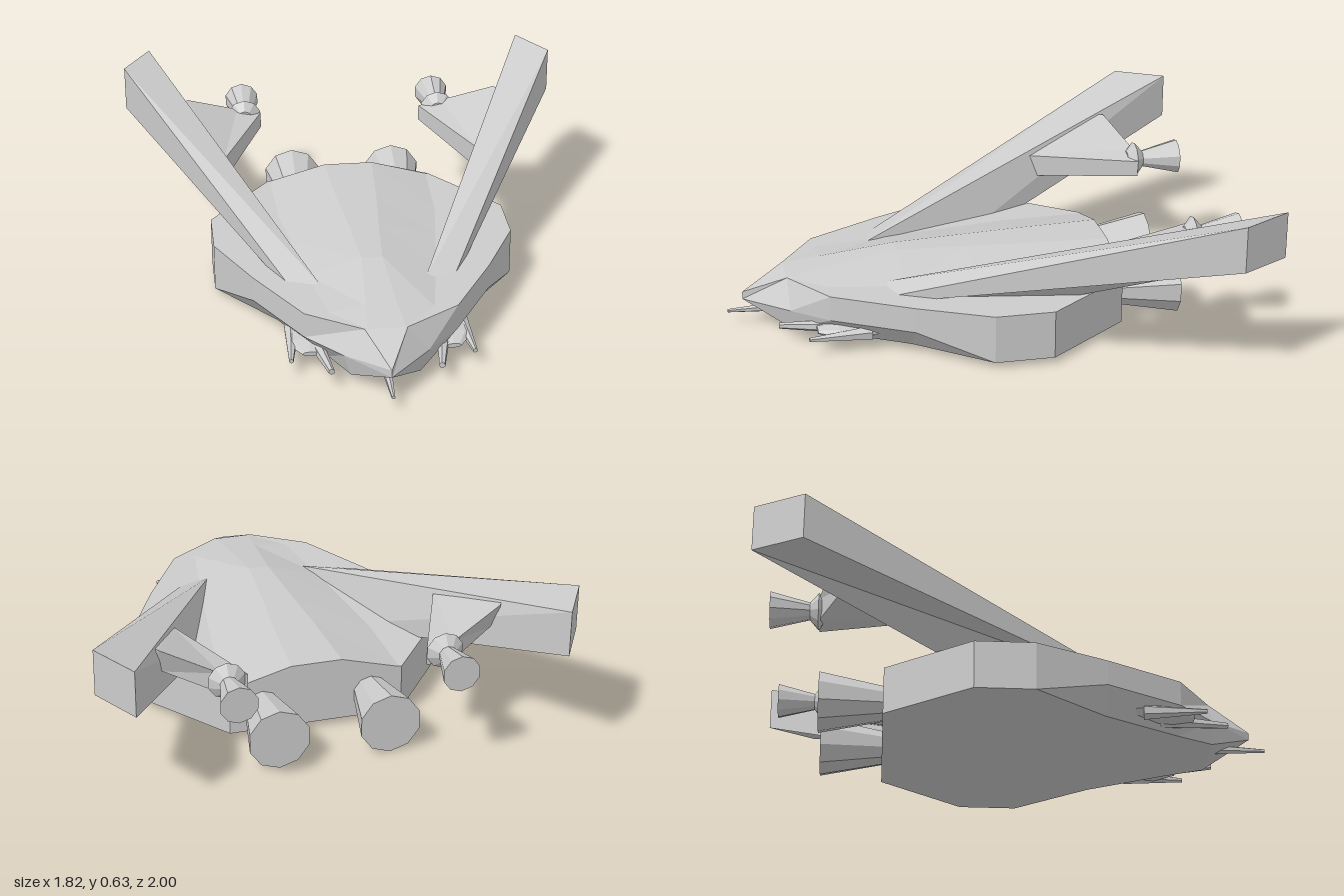
import * as THREE from 'three';

const grey = new THREE.MeshStandardMaterial({ color: 0xcccccc, flatShading: true });

// Closed solid skinned over equal-length rings of [x, y, z] corners.
function loft(rings, mirror = 1) {
  const tris = [];
  const n = rings[0].length;
  for (let i = 0; i < rings.length - 1; i++) {
    for (let j = 0; j < n; j++) {
      const k = (j + 1) % n;
      const [a, b, c, d] = [rings[i][j], rings[i][k], rings[i + 1][k], rings[i + 1][j]];
      tris.push([a, b, c], [a, c, d]);
    }
  }
  const first = rings[0], last = rings[rings.length - 1];
  for (let j = 1; j < n - 1; j++) {
    tris.push([first[0], first[j + 1], first[j]], [last[0], last[j], last[j + 1]]);
  }
  // Drop collapsed triangles and make the faces point outward
  let volume = 0;
  const solid = tris
    .map((t) => t.map(([x, y, z]) => new THREE.Vector3(x * mirror, y, z)))
    .filter(([a, b, c]) => new THREE.Triangle(a, b, c).getArea() > 1e-7);
  for (const [a, b, c] of solid) volume += a.dot(b.clone().cross(c));
  const points = solid.flatMap(([a, b, c]) => (volume > 0 ? [a, b, c] : [a, c, b]));
  const geometry = new THREE.BufferGeometry().setFromPoints(points);
  geometry.computeVertexNormals();
  return geometry;
}

function add(parent, name, geometry) {
  const mesh = new THREE.Mesh(geometry, grey);
  mesh.name = name;
  parent.add(mesh);
  return mesh;
}

// Hull: half sections of ridge, deck, edge, lip and keel from stern to nose
function hullGeometry() {
  const stations = [
    [-0.51, [0.1, 0.285], [0.33, 0.22], [0.34, 0.22], [0.34, 0.03], [0.34, 0.03]],
    [-0.18, [0.08, 0.285], [0.32, 0.22], [0.595, 0.22], [0.595, 0.03], [0.595, 0.03]],
    [0.05, [0.06, 0.285], [0.29, 0.22], [0.595, 0.22], [0.595, 0.03], [0.595, 0.03]],
    [0.33, [0.04, 0.283], [0.25, 0.22], [0.46, 0.22], [0.46, 0.12], [0.37, 0.03]],
    [0.63, [0.06, 0.24], [0.2, 0.22], [0.29, 0.22], [0.29, 0.12], [0.2, 0.03]],
    [0.77, [0.07, 0.22], [0.075, 0.22], [0.08, 0.22], [0.16, 0.115], [0.13, 0.03]],
    [0.94, [0, 0.14], [0, 0.14], [0, 0.14], [0, 0.11], [0, 0.11]],
  ];
  return loft(stations.map(([z, ...half]) => [
    ...half.map(([x, y]) => [x, y, z]),
    ...half.map(([x, y]) => [-x, y, z]).reverse(),
  ]));
}

// Wing: four-cornered beam from the deck to the raised tip
const wingRings = [
  [[0.2, 0.22, 0.42], [0.33, 0.22, 0.37], [0.33, 0.19, 0.37], [0.22, 0.04, 0.22]],
  [[0.8, 0.635, -1], [0.908, 0.635, -0.81], [0.908, 0.455, -0.81], [0.8, 0.455, -1]],
];

// Pylon: tapered plate reaching inward from the wing
const pylonRings = [
  [[0.52, 0.42, -0.32], [0.34, 0.425, -0.76], [0.44, 0.445, -0.765], [0.65, 0.53, -0.69], [0.68, 0.53, -0.64]],
  [[0.52, 0.33, -0.32], [0.34, 0.36, -0.76], [0.44, 0.36, -0.76], [0.63, 0.42, -0.65], [0.68, 0.44, -0.62]],
];

// Round part along z from [radius, z] points listed front to back
function turned(profile, sides) {
  const pts = profile.map(([r, z]) => new THREE.Vector2(r, -z));
  pts.unshift(new THREE.Vector2(0, -profile[0][1]));
  pts.push(new THREE.Vector2(0, -profile[profile.length - 1][1]));
  return new THREE.LatheGeometry(pts, sides).rotateX(-Math.PI / 2);
}

// Gun: slim tapering spike from one point to another
function spike(parent, name, from, to, r0, r1) {
  const a = new THREE.Vector3(...from), b = new THREE.Vector3(...to);
  const mesh = add(parent, name, new THREE.CylinderGeometry(r1, r0, a.distanceTo(b), 6));
  mesh.position.copy(a).add(b).multiplyScalar(0.5);
  mesh.quaternion.setFromUnitVectors(new THREE.Vector3(0, 1, 0), b.clone().sub(a).normalize());
}

export function createModel() {
  const model = new THREE.Group();
  model.name = 'spacecraft';

  add(model, 'hull', hullGeometry()).position.x = 0.007;
  spike(model, 'noseGun', [0.005, 0.065, 0.72], [0.005, 0.063, 1], 0.025, 0.007);

  for (const [side, s] of [['left', 1], ['right', -1]]) {
    const half = new THREE.Group();
    half.name = side + 'Side';
    model.add(half);

    add(half, 'wing', loft(wingRings, s));
    add(half, 'pylon', loft(pylonRings, s));

    const main = add(half, 'mainEngine', turned([[0.068, -0.5], [0.12, -0.755]], 10));
    main.position.set(s * 0.215 + 0.005, 0.125, 0);

    const small = add(half, 'wingEngine',
      turned([[0.035, -0.73], [0.072, -0.762], [0.034, -0.795], [0.072, -0.945]], 10));
    small.position.set(s * 0.415 + 0.005, 0.411, 0);

    // Flat housing under the lip with two guns
    const housing = add(half, 'gunHousing', turned([[0.03, 0.68], [0.08, 0.6], [0.08, 0.45]], 8));
    housing.scale.y = 0.3;
    housing.position.set(s * 0.27 + 0.005, 0.075, 0);
    const x = (v) => s * v + 0.005;
    spike(half, 'innerGun', [x(0.25), 0.07, 0.55], [x(0.205), 0.077, 0.82], 0.03, 0.012);
    spike(half, 'outerGun', [x(0.325), 0.07, 0.48], [x(0.345), 0.072, 0.72], 0.03, 0.009);
  }
  return model;
}
